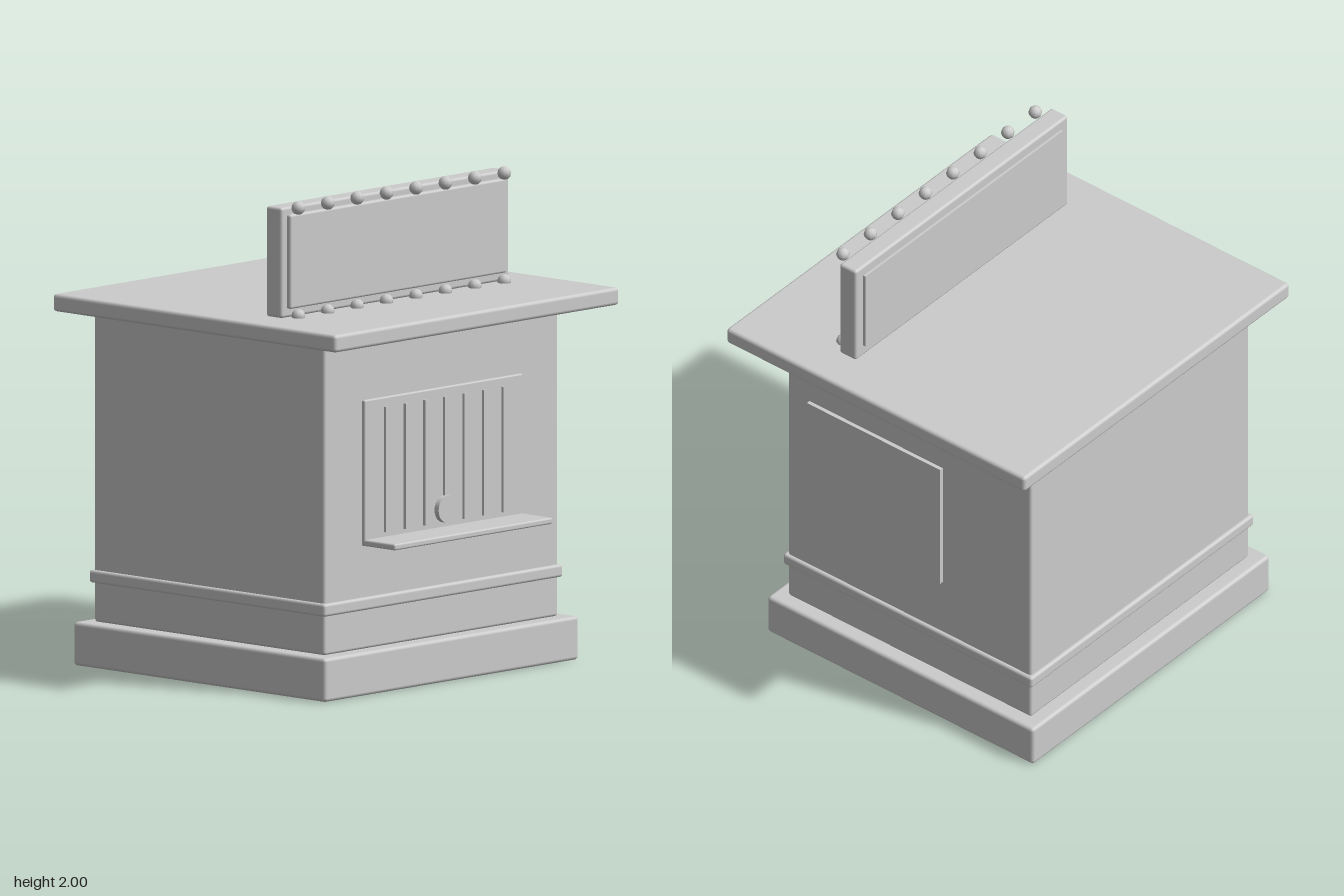
import * as THREE from 'three';
import { RoundedBoxGeometry } from 'three/addons/geometries/RoundedBoxGeometry.js';

export function createModel() {
  const model = new THREE.Group();
  model.name = 'boothStand';
  const grey = new THREE.MeshStandardMaterial({ color: 0xcccccc });
  grey.name = 'paleGrey';

  const add = (name, geometry, x, y, z, parent = model) => {
    const mesh = new THREE.Mesh(geometry, grey);
    mesh.name = name;
    mesh.position.set(x, y, z);
    parent.add(mesh);
    return mesh;
  };
  // Box given by its extents, with softened edges when bevel > 0
  const block = (name, [x0, x1], [y0, y1], [z0, z1], bevel = 0, parent = model) => {
    const size = [x1 - x0, y1 - y0, z1 - z0];
    const geometry = bevel ? new RoundedBoxGeometry(...size, 2, bevel) : new THREE.BoxGeometry(...size);
    return add(name, geometry, (x0 + x1) / 2, (y0 + y1) / 2, (z0 + z1) / 2, parent);
  };
  const group = (name) => {
    const g = new THREE.Group();
    g.name = name;
    model.add(g);
    return g;
  };

  // Plinth, body, trim band and overhanging top
  block('plinth', [-0.75, 0.75], [0, 0.178], [-0.75, 0.64], 0.015);
  block('body', [-0.69, 0.69], [0.178, 1.452], [-0.69, 0.58], 0.012);
  block('trimBand', [-0.705, 0.705], [0.338, 0.39], [-0.705, 0.595], 0.012);
  block('roofSlab', [-0.84, 0.84], [1.452, 1.524], [-0.78, 0.78], 0.015);

  // Front hatch with slats, round knob and counter shelf
  const hatch = group('frontHatch');
  block('hatchPanel', [-0.467, 0.467], [0.6, 1.195], [0.57, 0.595], 0.006, hatch);
  block('counterShelf', [-0.467, 0.467], [0.6, 0.626], [0.57, 0.76], 0.008, hatch);
  for (let i = -3; i <= 3; i++) {
    const x = i * 0.1157;
    block('slat', [x - 0.007, x + 0.007], [0.645, 1.157], [0.59, 0.607], 0, hatch);
  }
  const knob = new THREE.CylinderGeometry(0.056, 0.056, 0.03, 24).rotateX(Math.PI / 2);
  add('knob', knob, 0, 0.7, 0.603, hatch);

  // Flat panel on one side wall
  block('sidePanel', [0.685, 0.707], [0.642, 1.22], [-0.23, 0.467]);

  // Sign board with raised faces
  const sign = group('sign');
  block('signBoard', [-0.672, 0.672], [1.524, 1.975], [0.24, 0.327], 0.012, sign);
  block('signFace', [-0.64, 0.64], [1.56, 1.945], [0.3, 0.347], 0.01, sign);
  block('signBackPlate', [-0.625, 0.625], [1.575, 1.93], [0.229, 0.25], 0, sign);

  // Two rows of bulbs
  const bulb = new THREE.SphereGeometry(0.028, 8, 6);
  for (const y of [1.532, 1.972]) {
    for (let i = 0; i < 8; i++) add('bulb', bulb, -0.608 + i * 0.1737, y, 0.36, sign);
  }
  return model;
}
